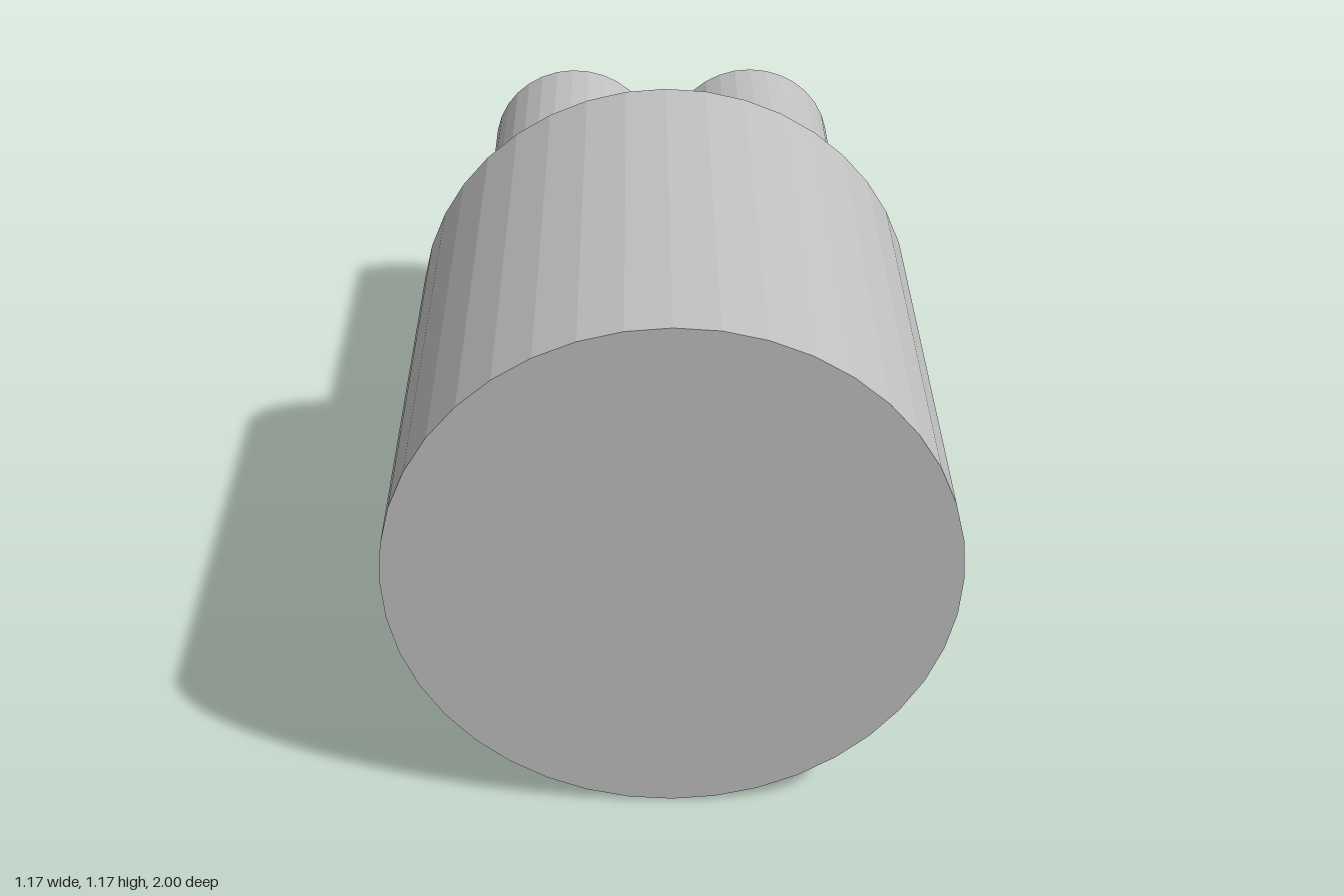
import * as THREE from 'three';

export function createModel() {
  const group = new THREE.Group();
  const grey = new THREE.MeshStandardMaterial({ color: 0xc0c0c0, flatShading: true });
  grey.name = 'light grey';

  const axisY = 0.587, shoulderZ = -0.07;

  // Large faceted cylinder lying along z
  const bodyLength = 1 - shoulderZ;
  const bodyGeometry = new THREE.CylinderGeometry(0.585, 0.585, bodyLength, 40);
  bodyGeometry.rotateX(Math.PI / 2);
  const body = new THREE.Mesh(bodyGeometry, grey);
  body.name = 'body';
  body.position.set(0, axisY, shoulderZ + bodyLength / 2);
  group.add(body);

  // Twin round prongs joined by a narrow web, as one dumbbell outline
  const radius = 0.22, centreX = 0.24, webHalfHeight = 0.09;
  const a = Math.asin(webHalfHeight / radius);
  const outline = new THREE.Shape();
  outline.absarc(centreX, 0, radius, -Math.PI + a, Math.PI - a, false);
  outline.absarc(-centreX, 0, radius, a, 2 * Math.PI - a, false);
  outline.closePath();
  const prongGeometry = new THREE.ExtrudeGeometry(outline, {
    depth: 1 + shoulderZ, bevelEnabled: false, curveSegments: 14,
  });
  const prongs = new THREE.Mesh(prongGeometry, grey);
  prongs.name = 'twinProngs';
  prongs.position.set(0, axisY, -1);
  group.add(prongs);

  return group;
}
